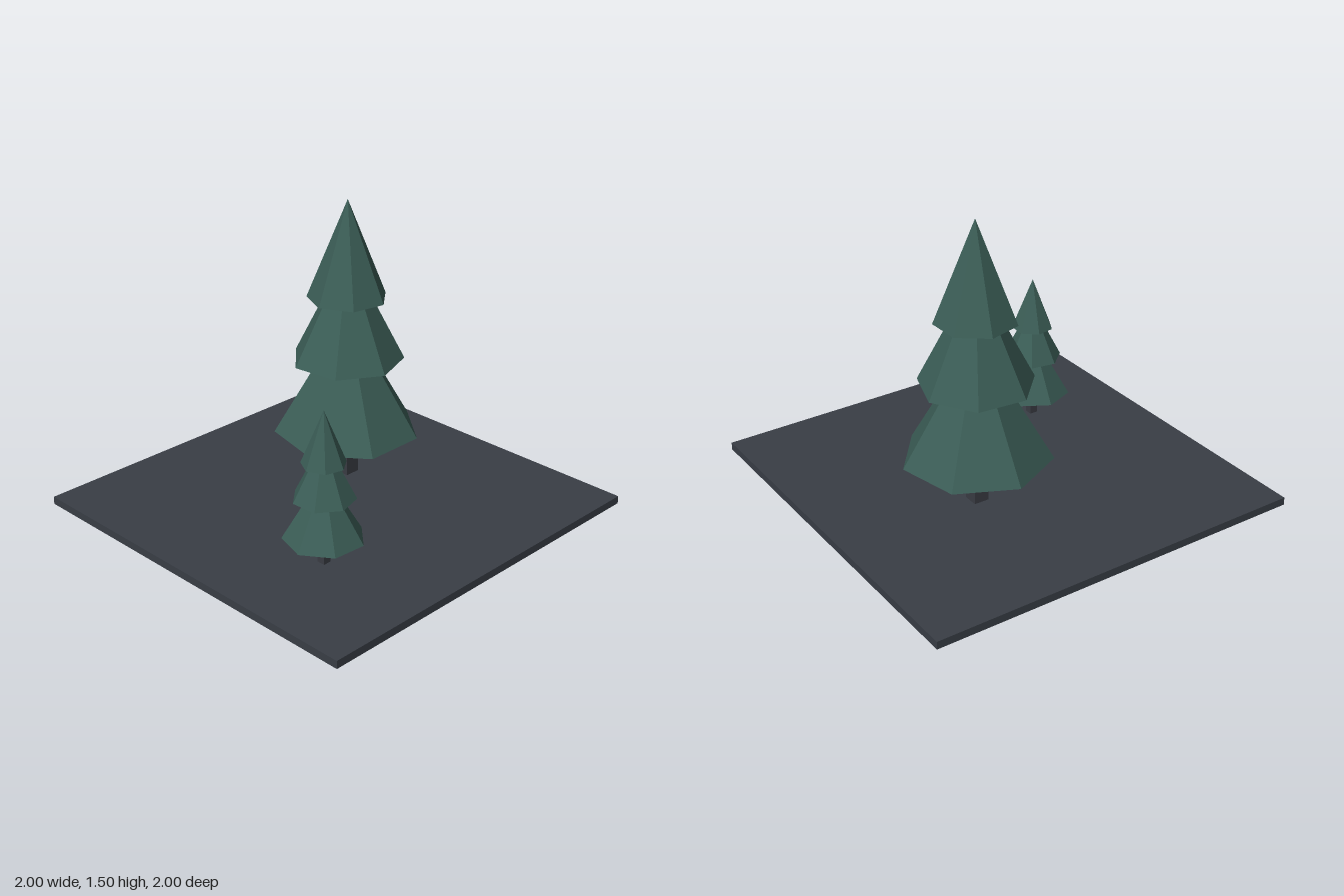
import * as THREE from 'three';

const GROUND_TOP = 0.04;

export function createModel() {
  const model = new THREE.Group();
  model.name = 'twoFirTrees';

  const ground = new THREE.MeshStandardMaterial({ color: 0x393e46, flatShading: true });
  ground.name = 'slateGround';
  const bark = new THREE.MeshStandardMaterial({ color: 0x3a3c43, flatShading: true });
  bark.name = 'darkBark';
  const needles = new THREE.MeshStandardMaterial({ color: 0x3b5d56, flatShading: true });
  needles.name = 'firGreen';

  function add(parent, name, geometry, material, y) {
    const mesh = new THREE.Mesh(geometry, material);
    mesh.name = name;
    mesh.position.y = y;
    parent.add(mesh);
    return mesh;
  }

  // Square ground slab
  add(model, 'groundSlab', new THREE.BoxGeometry(2, GROUND_TOP, 2), ground, GROUND_TOP / 2);

  // Branch tiers at full size: base height above ground, radius, cone height
  const tiers = [
    { name: 'lowerBranches', base: 0.245, radius: 0.372, height: 0.63 },
    { name: 'middleBranches', base: 0.635, radius: 0.286, height: 0.565 },
    { name: 'topBranches', base: 0.96, radius: 0.203, height: 0.505 },
  ];

  function addTree(name, x, z, scale, turn) {
    const tree = new THREE.Group();
    tree.name = name;
    tree.position.set(x, GROUND_TOP, z);
    tree.scale.setScalar(scale);
    model.add(tree);

    // Square trunk, reaching a little into the lowest tier
    add(tree, 'trunk', new THREE.BoxGeometry(0.08, 0.28, 0.08), bark, 0.14);

    // Seven-sided cones, each twisted against the one below
    tiers.forEach(({ name: tierName, base, radius, height }, i) => {
      const cone = new THREE.ConeGeometry(radius, height, 7);
      const tier = add(tree, tierName, cone, needles, base + height / 2);
      tier.rotation.y = turn + i * 0.35;
    });
  }

  addTree('largeTree', 0.24, -0.16, 1, Math.PI);
  addTree('smallTree', -0.48, 0.4, 0.53, Math.PI - 0.07);

  return model;
}
